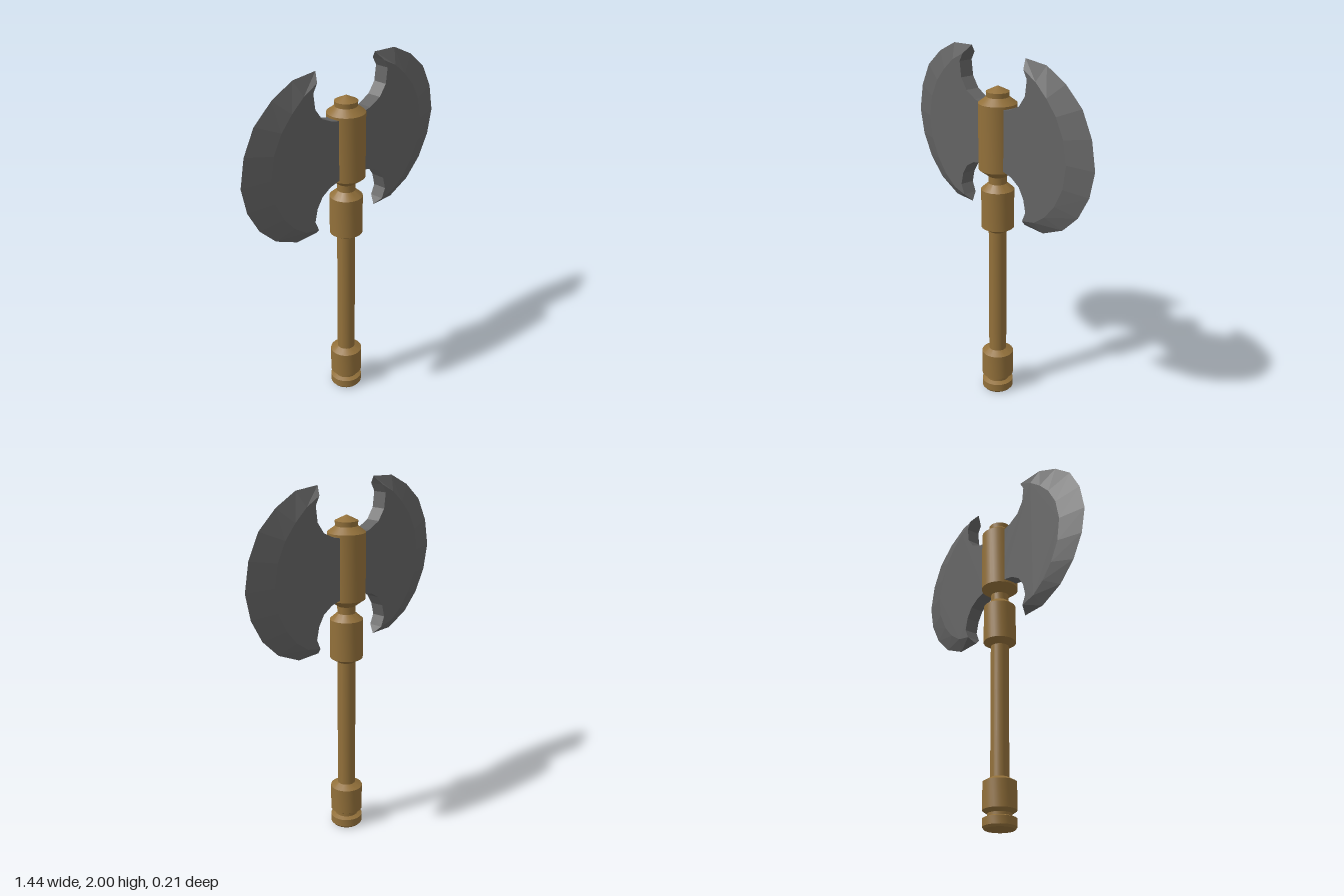
import * as THREE from 'three';
import { toCreasedNormals } from 'three/addons/utils/BufferGeometryUtils.js';

const HALF = 0.04; // half thickness of the blade plate

// Cutting edge at z = 0, listed from the top tip to the bottom tip
const EDGE = [[0.215, 2], [0.37, 1.99], [0.505, 1.925], [0.62, 1.83], [0.69, 1.7], [0.72, 1.55],
  [0.69, 1.41], [0.62, 1.285], [0.515, 1.185], [0.37, 1.12], [0.225, 1.12]];
// Where the bevel meets the flat face
const RIDGE = [[0.245, 1.955], [0.335, 1.91], [0.415, 1.845], [0.485, 1.77], [0.54, 1.67], [0.565, 1.55],
  [0.545, 1.42], [0.49, 1.315], [0.42, 1.235], [0.34, 1.18], [0.25, 1.16]];
// Concave inner outline, from the bottom tip through the shaft to the top tip
const INNER = [[0.275, 1.215], [0.257, 1.285], [0.22, 1.34], [0.16, 1.375], [0.09, 1.39], [0, 1.39],
  [0, 1.715], [0.07, 1.715], [0.14, 1.73], [0.215, 1.765], [0.26, 1.825], [0.272, 1.91]];

function bladeGeometry() {
  const pos = [];
  const tri = (a, b, c) => pos.push(...a, ...b, ...c);
  const at = (p, z) => [p[0], p[1], z];
  const outline = [...RIDGE, ...INNER];
  const faces = THREE.ShapeUtils.triangulateShape(outline.map(p => new THREE.Vector2(...p)), []);

  for (const s of [1, -1]) {
    // Orders the corners so each side faces outwards
    const face = (a, b, c) => {
      const cross = (b[0] - a[0]) * (c[1] - a[1]) - (b[1] - a[1]) * (c[0] - a[0]);
      if (cross * s > 0) tri(a, b, c); else tri(a, c, b);
    };
    for (const f of faces) face(...f.map(i => at(outline[i], s * HALF)));
    for (let i = 0; i < EDGE.length - 1; i++) {
      const e0 = at(EDGE[i], 0), e1 = at(EDGE[i + 1], 0);
      const r0 = at(RIDGE[i], s * HALF), r1 = at(RIDGE[i + 1], s * HALF);
      face(e0, e1, r1);
      face(e0, r1, r0);
    }
  }
  // Wall along the concave outline
  const wall = [RIDGE[RIDGE.length - 1], ...INNER, RIDGE[0]];
  for (let i = 0; i < wall.length - 1; i++) {
    const a = at(wall[i], HALF), b = at(wall[i + 1], HALF);
    const c = at(wall[i + 1], -HALF), d = at(wall[i], -HALF);
    tri(a, c, b);
    tri(a, d, c);
  }
  // Small end faces at both tips
  const last = EDGE.length - 1;
  tri(at(EDGE[0], 0), at(RIDGE[0], HALF), at(RIDGE[0], -HALF));
  tri(at(EDGE[last], 0), at(RIDGE[last], -HALF), at(RIDGE[last], HALF));

  const geo = new THREE.BufferGeometry();
  geo.setAttribute('position', new THREE.Float32BufferAttribute(pos, 3));
  geo.computeVertexNormals();
  return geo;
}

export function createModel() {
  const model = new THREE.Group();
  model.name = 'doubleAxe';
  const wood = new THREE.MeshStandardMaterial({ color: 0x92703a });
  wood.name = 'wood';
  const steel = new THREE.MeshStandardMaterial({ color: 0x636363, side: THREE.DoubleSide });
  steel.name = 'steel';

  // Turned parts: [radius, height] profiles from bottom to top
  const turned = {
    pommel: [[0, 0], [0.08, 0], [0.09, 0.012], [0.09, 0.055], [0.065, 0.065], [0.065, 0.08],
      [0.09, 0.097], [0.09, 0.245], [0.05, 0.267]],
    shaft: [[0.05, 0.267], [0.05, 1.015]],
    grip: [[0.05, 1.015], [0.09, 1.04], [0.09, 1.26], [0.05, 1.295]],
    neck: [[0.05, 1.295], [0.05, 1.335]],
    socket: [[0.05, 1.335], [0.103, 1.375], [0.103, 1.735], [0.06, 1.768]],
    cap: [[0.06, 1.768], [0.062, 1.795], [0, 1.825]],
  };
  for (const [name, profile] of Object.entries(turned)) {
    const lathe = new THREE.LatheGeometry(profile.map(p => new THREE.Vector2(...p)), 32);
    const mesh = new THREE.Mesh(toCreasedNormals(lathe, 0.4), wood);
    mesh.name = name;
    model.add(mesh);
  }

  // Two matching blades, one turned half way round
  const geo = bladeGeometry();
  ['leftBlade', 'rightBlade'].forEach((name, i) => {
    const blade = new THREE.Mesh(geo, steel);
    blade.name = name;
    blade.rotation.y = i * Math.PI;
    model.add(blade);
  });
  return model;
}
